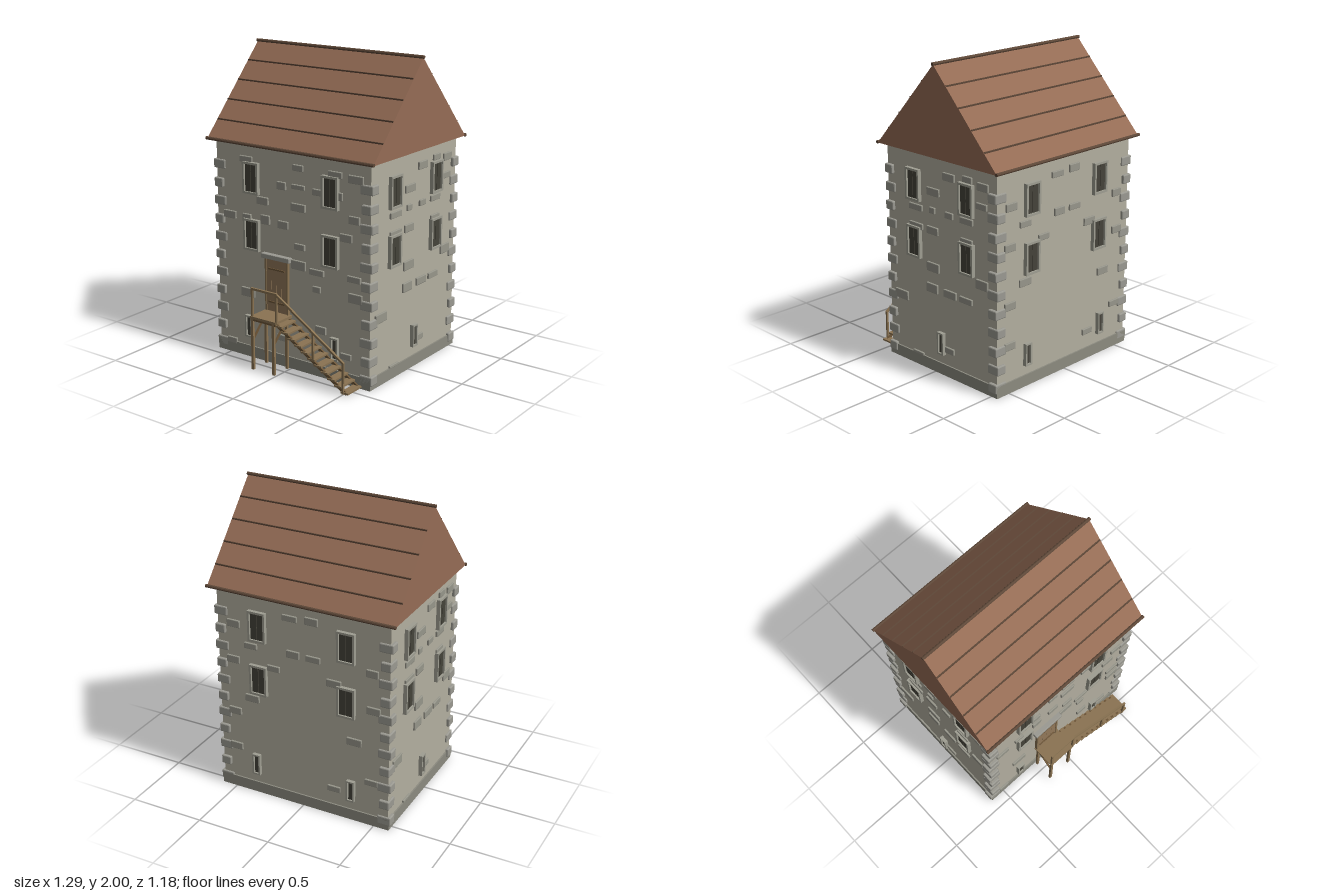
import * as THREE from 'three';
import { RoundedBoxGeometry } from 'three/addons/geometries/RoundedBoxGeometry.js';

const mat = (color) => new THREE.MeshStandardMaterial({ color, flatShading: true });
const M = {
  wall: mat(0xb3afa0), plinth: mat(0x8c8b80), quoin: mat(0x9b9a92), stone: mat(0x97968b),
  frame: mat(0x9f9e92), dark: mat(0x45433a), roof: mat(0x956c55), trim: mat(0x5e4838),
  wood: mat(0x8a7352), woodDark: mat(0x6e5638), door: mat(0x93795a),
};
const CZ = -0.06, HX = 0.595, HZ = 0.48, TOP = 1.42;

function add(parent, name, geo, material, x = 0, y = 0, z = 0) {
  const m = new THREE.Mesh(geo, material);
  m.name = name;
  m.position.set(x, y, z);
  parent.add(m);
  return m;
}
const box = (p, name, material, w, h, d, x, y, z) =>
  add(p, name, new THREE.BoxGeometry(w, h, d), material, x, y, z);

// Square beam or round pole running from a to b
function beam(p, name, material, a, b, t, round = false, h = t) {
  const A = new THREE.Vector3(...a), B = new THREE.Vector3(...b);
  const len = A.distanceTo(B);
  const geo = round ? new THREE.CylinderGeometry(t / 2, t / 2, len, 8).rotateX(Math.PI / 2)
    : new THREE.BoxGeometry(t, h, len);
  const m = add(p, name, geo, material);
  m.position.copy(A).add(B).multiplyScalar(0.5);
  m.lookAt(B);
  return m;
}

// Rectangular stone surround with dark panels; local z points out of the wall
function opening(p, name, x, y, w, h, t, panels) {
  const g = new THREE.Group();
  g.name = name;
  g.position.set(x, y, 0);
  const s = new THREE.Shape([[-w, -h], [w, -h], [w, h], [-w, h]].map(([a, b]) => new THREE.Vector2(a / 2, b / 2)));
  const iw = w / 2 - t, ih = h / 2 - t;
  s.holes.push(new THREE.Path([[-iw, -ih], [-iw, ih], [iw, ih], [iw, -ih]].map(([a, b]) => new THREE.Vector2(a, b))));
  add(g, 'surround', new THREE.ExtrudeGeometry(s, { depth: 0.035, bevelEnabled: false }), M.frame, 0, 0, -0.01);
  const pw = (2 * iw) / panels;
  for (let i = 0; i < panels; i++) {
    box(g, 'shutter', M.dark, pw - 0.004, 2 * ih, 0.024, -iw + pw * (i + 0.5), 0, 0.002);
  }
  p.add(g);
}

// Each stone: centre x, centre y, width, height, in hundredths
const STONES = {
  front: [
    -35, 132, 10, 4, 6, 132, 8, 4, 49, 131, 11, 5, 34, 132, 10, 4, -7, 119, 7, 5, 6, 120, 10, 3,
    -22, 107, 9, 5, 6, 107, 11, 5, 48, 106, 8, 5, 21, 119, 8, 4, 36, 119, 7, 5, -49, 94, 10, 5,
    -35, 94, 7, 5, -20, 95, 7, 6, -6, 94, 8, 5, 42, 94, 9, 5, 7, 82, 8, 4, 6, 70, 11, 6,
    20, 68, 11, 4, 48, 69, 10, 4, 20, 57, 6, 4, 49, 57, 10, 6, -35, 44, 11, 6, -7, 39, 8, 7,
    23, 31, 8, 5, 42, 18, 8, 4, -8, 19, 7, 4, -49, 8, 8, 4],
  side: [
    8, 131, 10, 5, 24, 133, 8, 4, 37, 131, 9, 5, -6, 119, 11, 5, 36, 119, 9, 4, -22, 106, 12, 4,
    -7, 107, 5, 4, 8, 107, 7, 4, 23, 107, 11, 4, -22, 94, 12, 4, -7, 94, 10, 5, 23, 94, 10, 4,
    -7, 70, 11, 6, 36, 70, 10, 6, -8, 56, 10, 6, 8, 56, 11, 5, 22, 56, 11, 4, -37, 44, 12, 6,
    7, 18, 8, 4, -22, 8, 10, 2],
  back: [
    -8, 131, 10, 4, 7, 132, 9, 5, -48, 119, 9, 5, -6, 107, 9, 5, 8, 107, 10, 4, 48, 107, 8, 5,
    -36, 106, 9, 4, 22, 94, 10, 5, -49, 94, 9, 5, -20, 94, 9, 4, 49, 82, 9, 5, -36, 69, 10, 5,
    -49, 57, 9, 5, 36, 57, 10, 5, -49, 31, 9, 5, 22, 19, 9, 4, 48, 31, 9, 4],
};

function wall(parent, name, stones, pos, angle, winX, slits) {
  const g = new THREE.Group();
  g.name = name;
  g.position.set(...pos);
  g.rotation.y = angle;
  for (const y of [0.835, 1.205]) for (const s of [-1, 1]) opening(g, 'window', s * winX, y, 0.122, 0.205, 0.014, 2);
  for (const x of slits) opening(g, 'slitWindow', x, 0.213, 0.055, 0.147, 0.011, 1);
  for (let i = 0; i < stones.length; i += 4) {
    const [x, y, w, h] = stones.slice(i, i + 4).map((v) => v / 100);
    add(g, 'wallStone', new RoundedBoxGeometry(w, h, 0.024, 1, 0.004), M.stone, x, y, 0);
  }
  parent.add(g);
}

function buildRoof(g) {
  const eaveZ = 0.522, ridge = 1.985, half = 0.637;
  const s = new THREE.Shape([new THREE.Vector2(-eaveZ, TOP), new THREE.Vector2(eaveZ, TOP), new THREE.Vector2(0, ridge)]);
  const geo = new THREE.ExtrudeGeometry(s, { depth: 2 * half, bevelEnabled: false }).translate(0, 0, -half).rotateY(Math.PI / 2);
  add(g, 'roof', geo, M.roof, 0, 0, CZ);
  beam(g, 'ridgePole', M.trim, [-0.643, ridge + 0.003, CZ], [0.643, ridge + 0.003, CZ], 0.022, true);
  for (const side of [-1, 1]) {
    const z = CZ + side * eaveZ;
    beam(g, 'eavePole', M.trim, [-0.643, TOP + 0.005, z], [0.643, TOP + 0.005, z], 0.022, true);
    for (let i = 1; i < 5; i++) {
      const t = i / 5, bz = CZ + side * eaveZ * (1 - t), by = TOP + (ridge - TOP) * t;
      beam(g, 'roofBatten', M.trim, [-0.635, by, bz], [0.635, by, bz], 0.009);
    }
  }
}

function buildDoor(g) {
  for (let i = 0; i < 4; i++) box(g, 'doorPlank', M.door, 0.039, 0.355, 0.03, -0.168 + i * 0.04, 0.53, 0.42);
  for (const y of [0.42, 0.64]) box(g, 'doorBand', M.woodDark, 0.13, 0.01, 0.008, -0.108, y, 0.437);
  for (const x of [-0.193, -0.023]) box(g, 'doorJamb', M.wood, 0.012, 0.36, 0.04, x, 0.53, 0.42);
  add(g, 'doorLintel', new RoundedBoxGeometry(0.225, 0.032, 0.07, 1, 0.004), M.quoin, -0.108, 0.721, 0.418);
}

function buildStairs(g) {
  const zf = 0.578, zb = 0.445;
  // Landing with legs and braces
  box(g, 'landing', M.wood, 0.205, 0.016, 0.17, -0.1, 0.35, 0.503);
  for (const z of [zf, zb]) box(g, 'landingJoist', M.woodDark, 0.2, 0.014, 0.014, -0.1, 0.336, z);
  for (const x of [-0.19, -0.022]) {
    for (const z of [zf, zb]) box(g, 'landingLeg', M.wood, 0.018, 0.345, 0.016, x, 0.1725, z);
    beam(g, 'landingBrace', M.woodDark, [x, 0.2, zf], [x, 0.335, zb], 0.011);
  }
  // Flight of steps
  for (const z of [zf - 0.01, zb]) beam(g, 'stringer', M.woodDark, [0, 0.335, z], [0.53, 0.012, z], 0.012, false, 0.02);
  for (let i = 0; i < 11; i++) {
    box(g, 'tread', M.wood, 0.055, 0.011, 0.145, 0.017 + i * 0.0505, 0.332 - i * 0.0312, 0.509);
  }
  // Handrail
  box(g, 'railPost', M.wood, 0.013, 0.19, 0.013, -0.19, 0.45, zf);
  box(g, 'railPost', M.wood, 0.013, 0.2, 0.013, 0.002, 0.445, zf);
  box(g, 'railPost', M.wood, 0.013, 0.19, 0.013, 0.285, 0.265, zf);
  box(g, 'railPost', M.wood, 0.013, 0.2, 0.013, 0.51, 0.112, zf);
  beam(g, 'landingRail', M.wood, [-0.197, 0.54, zf], [0.008, 0.54, zf], 0.014);
  beam(g, 'stairRail', M.wood, [0, 0.54, zf], [0.515, 0.207, zf], 0.014);
}

export function createModel() {
  const model = new THREE.Group();
  model.name = 'towerHouse';
  box(model, 'walls', M.wall, 2 * HX, TOP, 2 * HZ, 0, TOP / 2, CZ);
  box(model, 'plinth', M.plinth, 1.21, 0.075, 0.98, 0, 0.0375, CZ);

  wall(model, 'frontWall', STONES.front, [0, 0, CZ + HZ], 0, 0.307, [-0.34, 0.34]);
  wall(model, 'backWall', STONES.back, [0, 0, CZ - HZ], Math.PI, 0.307, [-0.34, 0.34]);
  wall(model, 'leftWall', STONES.side, [HX, 0, CZ], Math.PI / 2, 0.234, [0]);
  wall(model, 'rightWall', STONES.side, [-HX, 0, CZ], -Math.PI / 2, 0.234, [0]);

  // Corner stones, alternating long and short
  const quoins = new THREE.Group();
  quoins.name = 'cornerStones';
  model.add(quoins);
  for (const sx of [-1, 1]) for (const sz of [-1, 1]) for (let i = 0; i < 11; i++) {
    const [w, d] = i % 2 ? [0.07, 0.088] : [0.092, 0.068];
    const out = i % 2 ? 0.012 : 0.02;
    add(quoins, 'cornerStone', new RoundedBoxGeometry(w, 0.06, d, 1, 0.007), M.quoin,
      sx * (HX + out - w / 2), 0.06 + i * 0.12, CZ + sz * (HZ + 0.03 - out - d / 2));
  }

  const parts = { roof: buildRoof, door: buildDoor, stairs: buildStairs };
  for (const [name, build] of Object.entries(parts)) {
    const g = new THREE.Group();
    g.name = name + 'Group';
    build(g);
    model.add(g);
  }
  return model;
}
